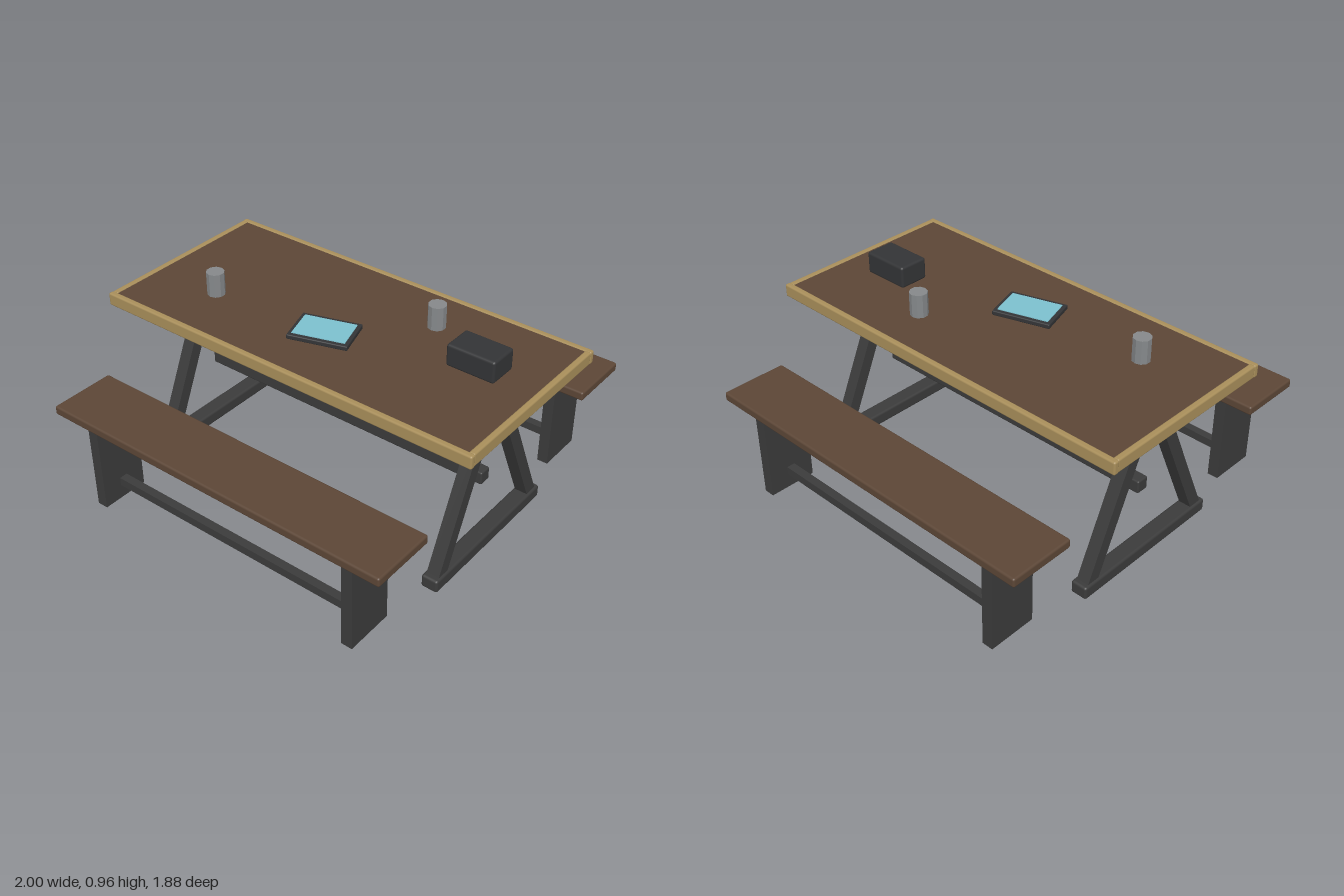
import * as THREE from 'three';
import { RoundedBoxGeometry } from 'three/addons/geometries/RoundedBoxGeometry.js';

function material(name, color) {
  const m = new THREE.MeshStandardMaterial({ color });
  m.name = name;
  return m;
}

export function createModel() {
  const wood = material('darkWood', 0x5c4636);
  const trim = material('paleWood', 0xa88e5a);
  const steel = material('darkSteel', 0x3b3b3b);
  const dark = material('charcoal', 0x333436);
  const metal = material('greyMetal', 0x85888a);
  const screen = material('paleBlue', 0x7cc0ce);

  const model = new THREE.Group();
  model.name = 'picnicTable';

  const group = (name) => {
    const g = new THREE.Group();
    g.name = name;
    model.add(g);
    return g;
  };
  // Box given by its size and centre; bevel > 0 rounds the edges
  const box = (parent, name, mat, size, pos, bevel = 0) => {
    const geo = bevel ? new RoundedBoxGeometry(...size, 2, bevel) : new THREE.BoxGeometry(...size);
    const mesh = new THREE.Mesh(geo, mat);
    mesh.name = name;
    mesh.position.set(...pos);
    parent.add(mesh);
    return mesh;
  };

  // Table top framed by pale edging
  const top = group('tableTop');
  box(top, 'board', wood, [1.95, 0.045, 0.91], [0, 0.8255, 0]);
  for (const s of [-1, 1]) {
    box(top, 'longEdge', trim, [2, 0.064, 0.03], [0, 0.821, s * 0.463], 0.009);
    box(top, 'shortEdge', trim, [0.03, 0.064, 0.91], [s * 0.983, 0.821, 0], 0.009);
  }

  // A-shaped trestles joined by a stretcher
  for (const s of [-1, 1]) {
    const trestle = group(s > 0 ? 'leftTrestle' : 'rightTrestle');
    trestle.position.x = s * 0.798;
    box(trestle, 'topBeam', steel, [0.075, 0.066, 0.78], [0, 0.771, 0]);
    box(trestle, 'foot', steel, [0.084, 0.065, 0.84], [0, 0.0325, 0], 0.012);
    for (const side of [-1, 1]) {
      const lower = [0.368, 0.045], upper = [0.038, 0.77];
      const dz = lower[0] - upper[0], dy = upper[1] - lower[1];
      const leg = box(trestle, 'slantedLeg', steel, [0.063, Math.hypot(dz, dy), 0.062],
        [0, (lower[1] + upper[1]) / 2, side * (lower[0] + upper[0]) / 2]);
      leg.rotation.x = -side * Math.atan2(dz, dy);
    }
  }
  box(model, 'tableStretcher', steel, [1.58, 0.065, 0.064], [0, 0.358, 0], 0.008);

  // Benches on both sides
  for (const s of [-1, 1]) {
    const bench = group(s > 0 ? 'frontBench' : 'backBench');
    bench.position.z = s * 0.776;
    box(bench, 'seat', wood, [1.82, 0.045, 0.326], [0, 0.488, 0], 0.01);
    for (const e of [-1, 1]) {
      box(bench, 'panelLeg', steel, [0.055, 0.468, 0.24], [e * 0.722, 0.234, 0]);
    }
    box(bench, 'benchStretcher', steel, [1.42, 0.042, 0.042], [0, 0.092, 0]);
  }

  // Faceted cups
  for (const [x, z] of [[-0.612, 0.165], [0.352, -0.224]]) {
    const geo = new THREE.CylinderGeometry(0.043, 0.043, 0.115, 10).toNonIndexed();
    geo.computeVertexNormals();
    const cup = new THREE.Mesh(geo, metal);
    cup.name = 'cup';
    cup.position.set(x, 0.9055, z);
    model.add(cup);
  }

  // Storage box
  box(model, 'storageBox', dark, [0.24, 0.108, 0.15], [0.682, 0.908, -0.057], 0.012);

  // Tablet lying at an angle
  const tablet = group('tablet');
  tablet.position.set(0, 0.848, 0.13);
  tablet.rotation.y = 0.3;
  box(tablet, 'tabletBody', dark, [0.285, 0.023, 0.2], [0, 0.0115, 0], 0.005);
  box(tablet, 'tabletScreen', screen, [0.25, 0.004, 0.16], [0, 0.0245, 0]);

  return model;
}
